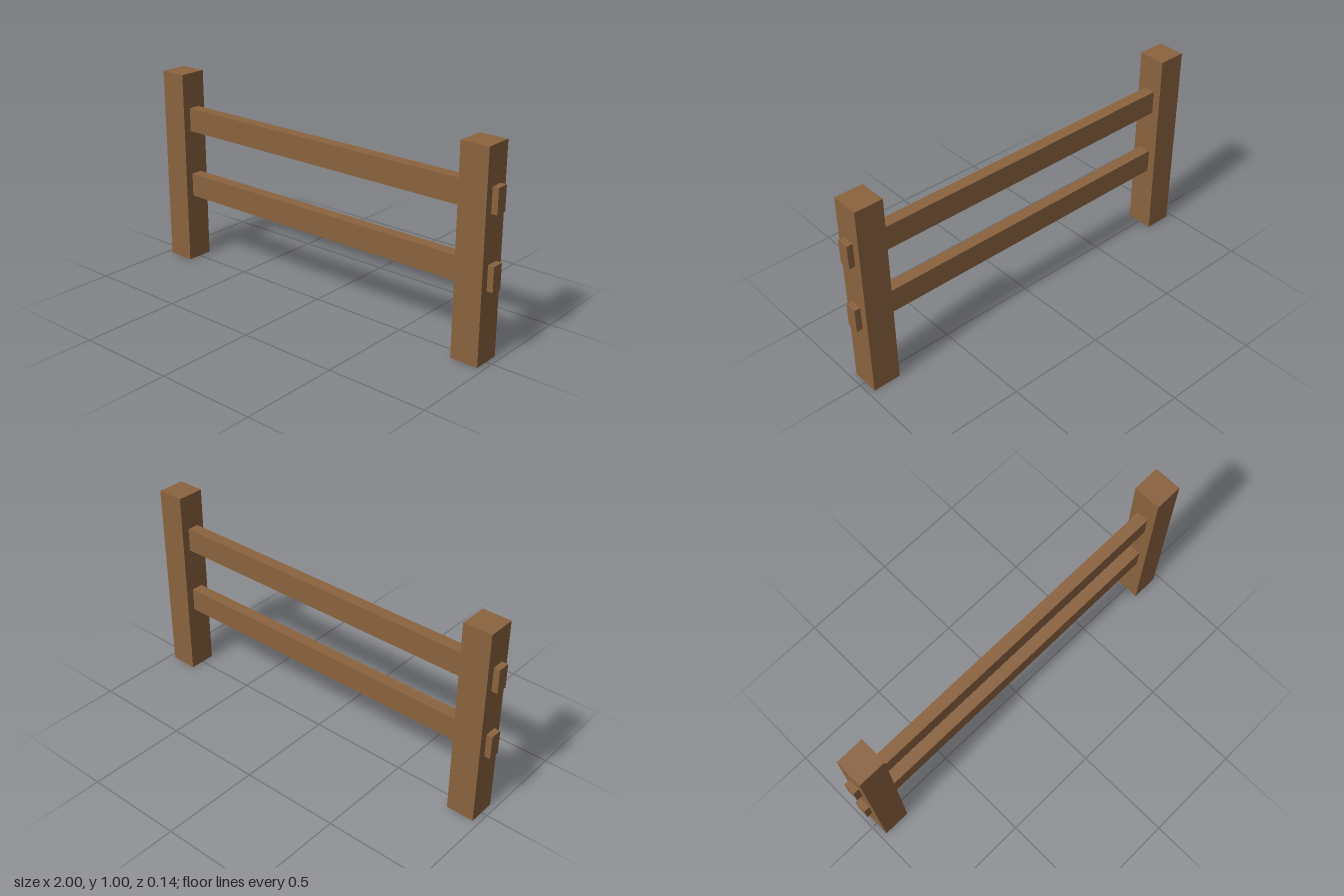
import * as THREE from 'three';

export function createModel() {
  const group = new THREE.Group();
  const wood = new THREE.MeshStandardMaterial({ color: 0x8b6340 });

  const addBeam = (name, size, position) => {
    const mesh = new THREE.Mesh(new THREE.BoxGeometry(...size), wood);
    mesh.name = name;
    mesh.position.set(...position);
    group.add(mesh);
  };

  // Square upright posts
  addBeam('leftPost', [0.14, 1, 0.14], [0.9, 0.5, 0]);
  addBeam('rightPost', [0.14, 1, 0.14], [-0.9, 0.5, 0]);

  // Rails passing through both posts, with short ends showing outside
  addBeam('upperRail', [2, 0.12, 0.06], [0, 0.76, 0]);
  addBeam('lowerRail', [2, 0.12, 0.06], [0, 0.41, 0]);

  return group;
}
